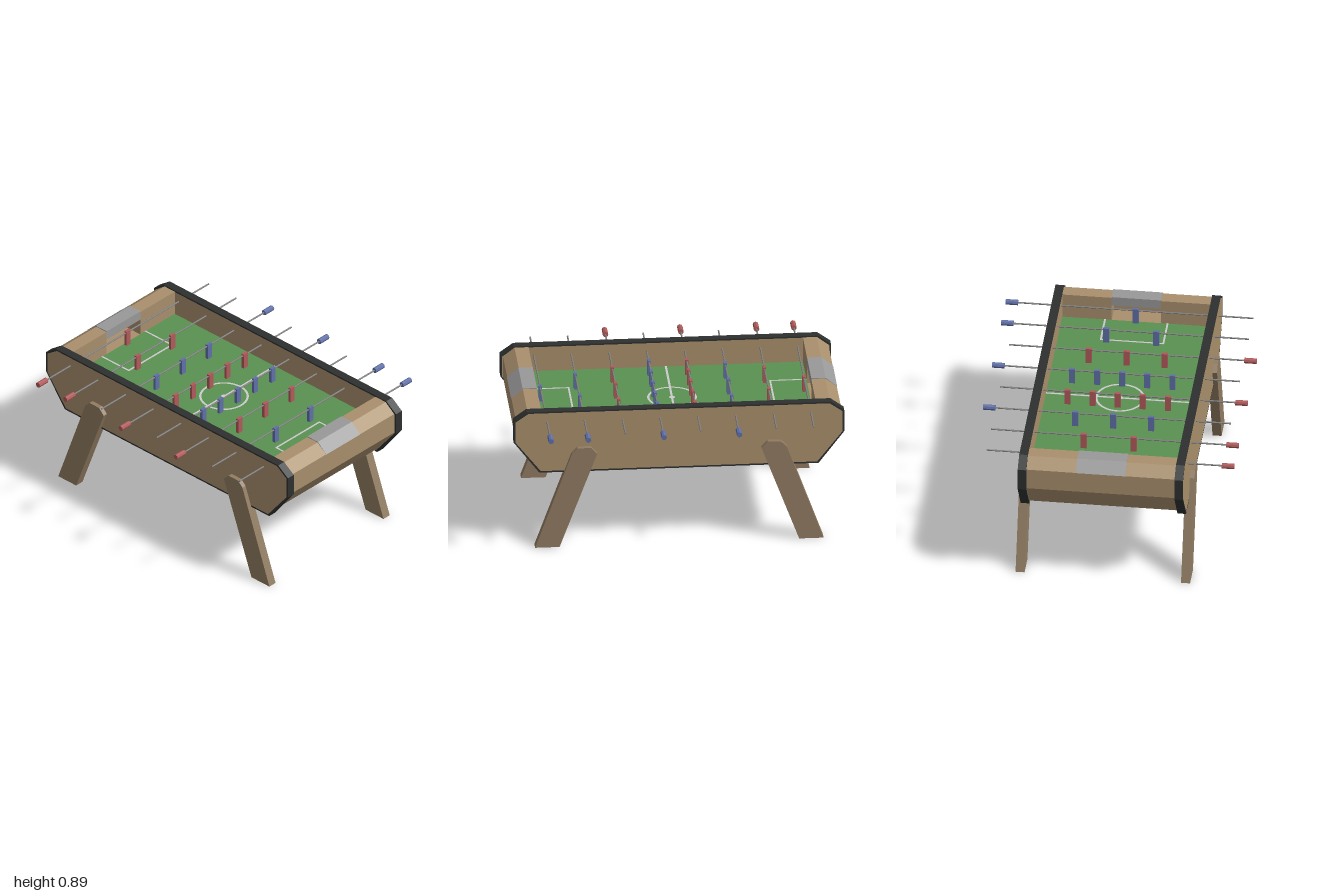
import * as THREE from 'three';

const mat = (color) => new THREE.MeshStandardMaterial({ color, flatShading: true });
const wood = mat(0xa98f6c), legWood = mat(0x917c62), dark = mat(0x2e3030), grey = mat(0x999999);
const green = mat(0x5a9150), white = mat(0xcccccc), steel = mat(0x808080);
const red = mat(0xb05a5a), blue = mat(0x6070a8);

export function createModel() {
  const root = new THREE.Group();

  function add(name, geometry, material, x = 0, y = 0, z = 0, parent = root) {
    const mesh = new THREE.Mesh(geometry, material);
    mesh.name = name;
    mesh.position.set(x, y, z);
    parent.add(mesh);
    return mesh;
  }
  const shapeOf = (pts) => new THREE.Shape(pts.map(([x, y]) => new THREE.Vector2(x, y)));
  const extrude = (shape, depth) => new THREE.ExtrudeGeometry(shape, { depth, bevelEnabled: false });
  // closes a right-hand half profile into a symmetric outline
  const mirrored = (half) => [...half, ...half.map(([x, y]) => [-x, y]).reverse()];

  // Side panels with dark edge trim
  const outer = mirrored([[0.845, 0.485], [1, 0.69], [1, 0.83], [0.92, 0.888]]);
  const inner = outer.map(([x, y]) => [x * 0.99, 0.686 + (y - 0.686) * 0.95]);
  const rim = shapeOf(outer);
  rim.holes.push(new THREE.Path(inner.map(([x, y]) => new THREE.Vector2(x, y))));
  for (const z of [-0.502, 0.45]) {
    add('sidePanelTrim', extrude(rim, 0.052), dark, 0, 0, z);
    add('sidePanel', extrude(shapeOf(inner), 0.052), wood, 0, 0, z);
  }

  // Tub: solid end walls beside the goals, hollow behind the goal mouths
  const end = [[0.835, 0.5], [0.985, 0.69], [0.985, 0.825]];
  const solid = shapeOf(mirrored([...end, [0.915, 0.88], [0.83, 0.88], [0.83, 0.715]]));
  const hollow = shapeOf(mirrored([...end, [0.95, 0.825], [0.95, 0.715]]));
  add('tub', extrude(solid, 0.3), wood, 0, 0, -0.45);
  add('tub', extrude(solid, 0.3), wood, 0, 0, 0.15);
  add('goalPocket', extrude(hollow, 0.3), wood, 0, 0, -0.15);

  // Goal hoods
  const hood = [[0.83, 0.825], [0.987, 0.825], [0.917, 0.885], [0.83, 0.885]];
  for (const s of [-1, 1]) {
    add('goalHood', extrude(shapeOf(hood.map(([x, y]) => [s * x, y])), 0.3), grey, 0, 0, -0.15);
  }

  // Playing field and markings
  add('field', new THREE.BoxGeometry(1.66, 0.01, 0.9), green, 0, 0.715, 0);
  const line = (w, d, x, z) => add('fieldLine', new THREE.BoxGeometry(w, 0.002, d), white, x, 0.7215, z);
  line(0.013, 0.9, 0, 0);
  for (const s of [-1, 1]) {
    line(0.011, 0.39, s * 0.61, 0);
    for (const z of [-0.19, 0.19]) line(0.22, 0.011, s * 0.72, z);
  }
  add('centreCircle', new THREE.RingGeometry(0.136, 0.15, 40), white, 0, 0.723, 0).rotation.x = -Math.PI / 2;
  add('centreSpot', new THREE.CircleGeometry(0.018, 20), white, 0, 0.7232, 0).rotation.x = -Math.PI / 2;

  // Legs, splayed outwards
  const leg = [[0.725, 0], [0.873, 0], [0.65, 0.615], [0.615, 0.65], [0.535, 0.65], [0.497, 0.61]];
  for (const s of [-1, 1]) {
    for (const z of [-0.53, 0.475]) {
      add('leg', extrude(shapeOf(leg.map(([x, y]) => [s * x, y])), 0.055), legWood, 0, 0, z);
    }
  }

  // Rods with handles and players; the two teams mirror each other
  const rows = [
    [-0.798, [0]],
    [-0.572, [-0.152, 0.152]],
    [-0.114, [-0.305, -0.152, 0, 0.152, 0.305]],
    [0.342, [-0.23, 0, 0.23]],
  ];
  const rodGeo = new THREE.CylinderGeometry(0.005, 0.005, 1.43, 8).rotateX(Math.PI / 2);
  const handleGeo = new THREE.CylinderGeometry(0.017, 0.017, 0.075, 8).rotateX(Math.PI / 2);
  const playerGeo = new THREE.BoxGeometry(0.019, 0.1, 0.036);
  for (const [team, s] of [[red, 1], [blue, -1]]) {
    for (const [x, places] of rows) {
      const rod = new THREE.Group();
      rod.name = 'rodAssembly';
      rod.position.set(s * x, 0.822, 0);
      root.add(rod);
      add('rod', rodGeo, steel, 0, 0, 0, rod);
      add('handle', handleGeo, team, 0, 0, s * 0.752, rod);
      for (const z of places) add('player', playerGeo, team, 0, -0.038, z, rod);
    }
  }
  return root;
}
